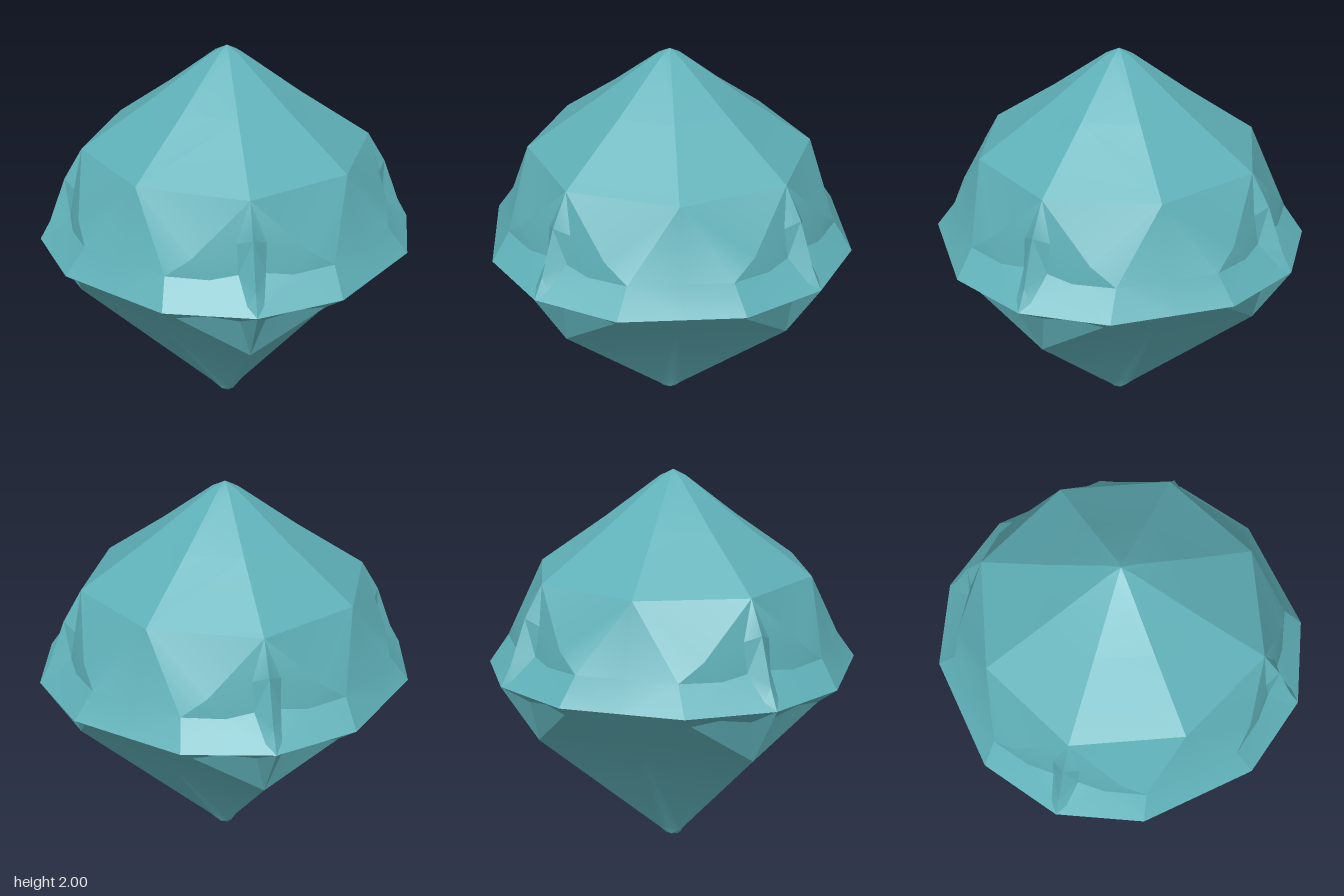
import * as THREE from 'three';
import { toCreasedNormals } from 'three/addons/utils/BufferGeometryUtils.js';

// Corners of one eighth of the gem, from the front axis (x = 0) to the diagonal (x = z)
const P = {
  // crown, slightly hollowed halfway down
  apex: [0, 2, 0], T: [0, 1.965, 0.07], TD: [0.05, 1.965, 0.05],
  U: [0, 1.74, 0.374], UD: [0.26, 1.74, 0.26],
  A: [0, 1.49, 0.74], D: [0.51, 1.49, 0.51],
  // ridge, groove and hollow on the upper side facets
  r1: [0, 1.33, 0.835], r2: [0, 1.1, 0.92],
  h: [0.07, 1.3, 0.79], q1: [0.065, 1.15, 0.815], q2: [0.04, 1.04, 0.925],
  e: [0.28, 1.23, 0.78], f: [0.2, 1.13, 0.81],
  m: [0.405, 1.14, 0.76], M: [0.5825, 1.14, 0.5825],
  // girdle
  G: [0, 1, 0.975], g: [0.43, 1, 0.86], N: [0.645, 1, 0.645],
  // lower half, with a hollow under the girdle on each side of the ridge
  s: [0, 0.87, 0.895], p: [0.06, 0.92, 0.85], o: [0.22, 0.95, 0.83], k: [0.36, 0.935, 0.8],
  R: [0, 0.685, 0.78], V: [0.45, 0.76, 0.45],
  b: [0, 0.05, 0.085], bD: [0.043, 0.05, 0.043],
  t: [0, 0.008, 0.045], tD: [0.03, 0.008, 0.03], tip: [0, 0, 0],
};

const CROWN = 'apex T TD, T U UD, T UD TD, U A D, U D UD';
const SIDES = 'A r1 h, A h e, A e D, D e m, r1 r2 q1, r1 q1 h, r2 q2 q1, q1 q2 f, ' +
  'h q1 f, h f e, e f m, r2 G q2, q2 G g, q2 g f, f g m, D m M, m g N, m N M';
const PAVILION = 'N g V, g k V, k R V, V R b, V b bD, b t tD, b tD bD, t tip tD, ' +
  'G s p, G p o, G o g, o k g, s R p, p R o, o R k';

// Mirror and turn the eighth all the way round, facing every triangle outwards
function facets(list, crease) {
  const out = [];
  const centre = new THREE.Vector3(0, 1, 0);
  const up = new THREE.Vector3(0, 1, 0);
  for (const names of list.split(', ')) {
    for (let turn = 0; turn < 4; turn++) {
      for (const side of [1, -1]) {
        const tri = names.split(' ').map((n) => {
          const [x, y, z] = P[n];
          return new THREE.Vector3(x * side, y, z).applyAxisAngle(up, turn * Math.PI / 2);
        });
        const normal = tri[1].clone().sub(tri[0]).cross(tri[2].clone().sub(tri[0]));
        const mid = tri[0].clone().add(tri[1]).add(tri[2]).divideScalar(3).sub(centre);
        if (normal.dot(mid) < 0) tri.reverse();
        for (const v of tri) out.push(v.x, v.y, v.z);
      }
    }
  }
  const geo = new THREE.BufferGeometry();
  geo.setAttribute('position', new THREE.Float32BufferAttribute(out, 3));
  return toCreasedNormals(geo, crease);
}

export function createModel() {
  const teal = new THREE.MeshStandardMaterial({ color: 0x5fb0b8 });
  teal.name = 'teal';
  const gem = new THREE.Group();
  gem.name = 'gem';
  const parts = [['crown', CROWN, 0.2], ['upperSides', SIDES, 0.3], ['pavilion', PAVILION, 0.3]];
  for (const [name, list, crease] of parts) {
    const mesh = new THREE.Mesh(facets(list, crease), teal);
    mesh.name = name;
    gem.add(mesh);
  }
  return gem;
}
